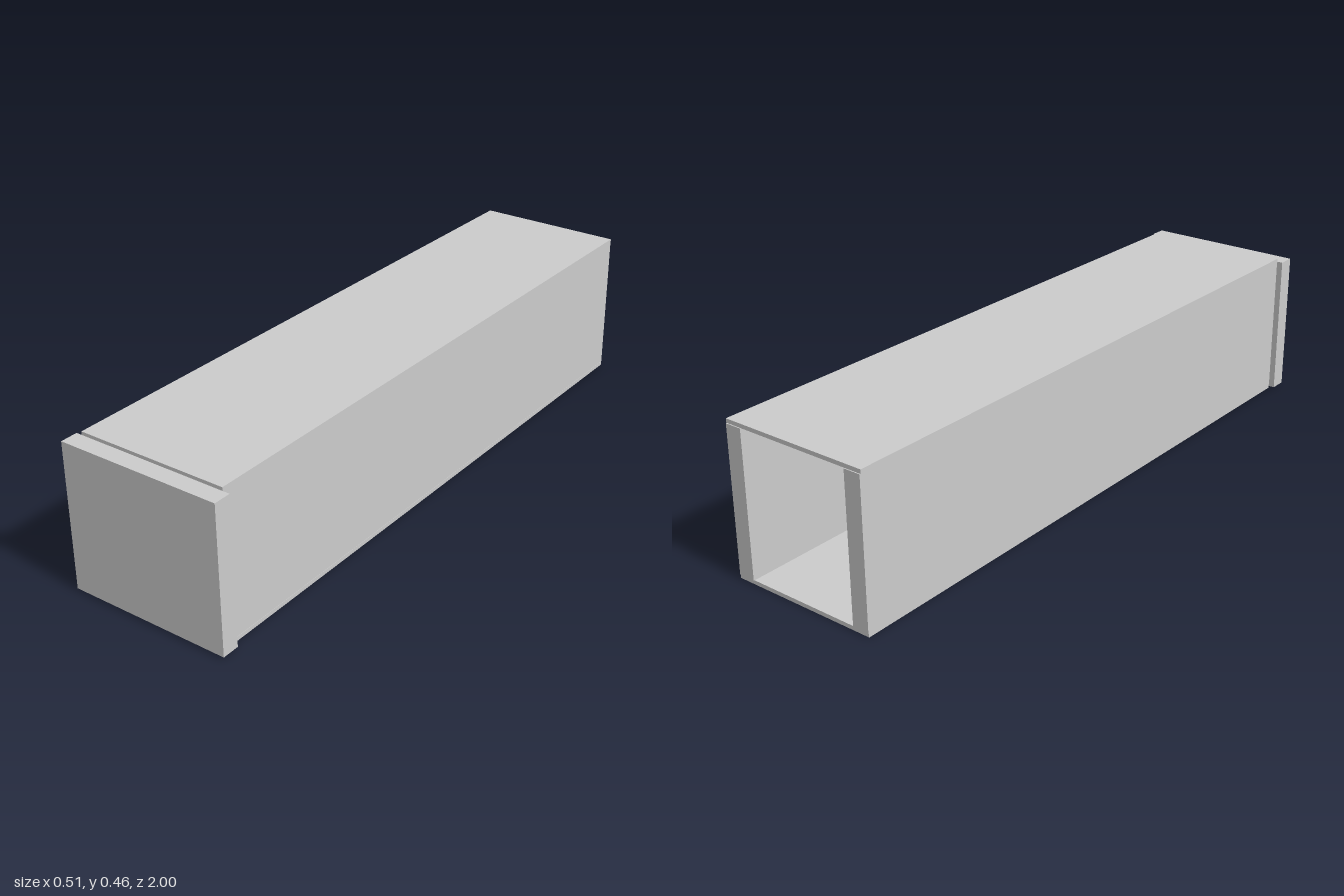
import * as THREE from 'three';

const material = new THREE.MeshStandardMaterial({ color: 0xcccccc, flatShading: true });

// Board spanning the given limits on each axis
function board(name, [x0, x1], [y0, y1], [z0, z1]) {
  const mesh = new THREE.Mesh(new THREE.BoxGeometry(x1 - x0, y1 - y0, z1 - z0), material);
  mesh.position.set((x0 + x1) / 2, (y0 + y1) / 2, (z0 + z1) / 2);
  mesh.name = name;
  return mesh;
}

export function createModel() {
  const model = new THREE.Group();
  model.name = 'longDrawerBox';

  // Thin sheets above and below the side walls
  model.add(board('topPanel', [-0.235, 0.231], [0.448, 0.46], [-0.997, 0.947]));
  model.add(board('bottomPanel', [-0.233, 0.23], [0, 0.012], [-0.997, 0.947]));

  // Thick side walls, leaving the back open
  model.add(board('leftWall', [0.177, 0.229], [0.012, 0.448], [-1, 0.947]));
  model.add(board('rightWall', [-0.234, -0.182], [0.012, 0.448], [-1, 0.947]));

  // Wider plate closing the front
  model.add(board('frontPanel', [-0.253, 0.253], [0.007, 0.45], [0.947, 1]));

  return model;
}
